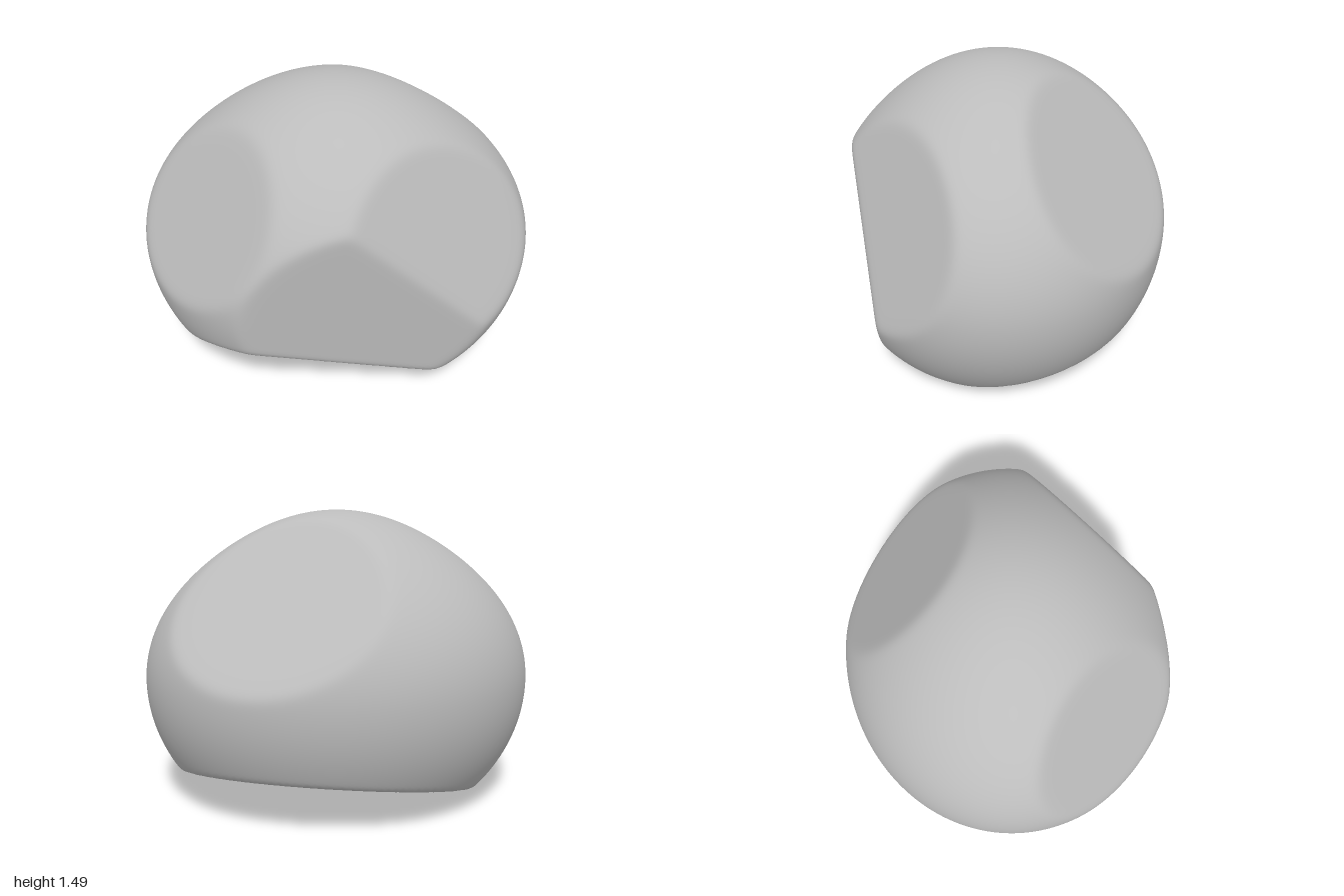
import * as THREE from 'three';
import { mergeVertices } from 'three/addons/utils/BufferGeometryUtils.js';

// Rounded boulder: an ellipsoid with broad flat chips cut off it
const CENTRE = new THREE.Vector3(0, 0.62, 0.02);
const RADII = new THREE.Vector3(1.0, 0.868, 0.883);

// Each chip: outward normal and plane offset from the origin
const CHIPS = [
  { n: [-0.09, -0.83, 0.55], d: 0.147 },    // lower front
  { n: [0.25, -0.07, 0.965], d: 0.682 },    // front
  { n: [0.61, 0.39, 0.69], d: 1.01 },       // upper front, +x
  { n: [-0.61, 0.5, 0.61], d: 1.105 },      // upper front, -x
  { n: [0.32, 0.64, -0.7], d: 1.11 },       // upper back
  { n: [0.08, -0.965, -0.24], d: -0.047 },  // underside, back
  { n: [0.06, -0.99, 0.12], d: -0.03 },     // underside, middle
].map(({ n, d }) => {
  const normal = new THREE.Vector3(...n);
  const length = normal.length();
  normal.divideScalar(length);
  return { normal, dist: d / length - normal.dot(CENTRE) };
});

const SHARPNESS = 90;

// Distance to the surface along a direction, with slightly worn edges
function surfaceRadius(dir) {
  // The shoulders above the middle slope a little more than an ellipsoid
  const shoulder = 4 * Math.max(dir.y, 0) ** 2 * (1 - dir.y ** 2);
  const body = (1 - 0.037 * shoulder) / dir.clone().divide(RADII).length();
  let sum = 1;
  for (const { normal, dist } of CHIPS) {
    const facing = normal.dot(dir);
    if (facing > 0) sum += Math.pow((body * facing) / dist, SHARPNESS);
  }
  return body * Math.pow(sum, -1 / SHARPNESS);
}

export function createModel() {
  const stone = new THREE.MeshStandardMaterial({ color: 0xbcbcbc });
  stone.name = 'grey stone';

  // Weld a fine sphere, then push each vertex out to the chipped surface
  let geometry = new THREE.IcosahedronGeometry(1, 50);
  geometry.deleteAttribute('normal');
  geometry.deleteAttribute('uv');
  geometry = mergeVertices(geometry, 1e-4);
  const pos = geometry.attributes.position;
  const v = new THREE.Vector3();
  for (let i = 0; i < pos.count; i++) {
    v.fromBufferAttribute(pos, i).normalize();
    v.multiplyScalar(surfaceRadius(v)).add(CENTRE);
    pos.setXYZ(i, v.x, v.y, v.z);
  }

  // Centre it and stand it on the ground
  geometry.computeBoundingBox();
  const { min, max } = geometry.boundingBox;
  geometry.translate(-(min.x + max.x) / 2, -min.y, -(min.z + max.z) / 2);
  geometry.computeVertexNormals();

  const boulder = new THREE.Mesh(geometry, stone);
  boulder.name = 'boulder';
  const group = new THREE.Group();
  group.name = 'rock';
  group.add(boulder);
  return group;
}
